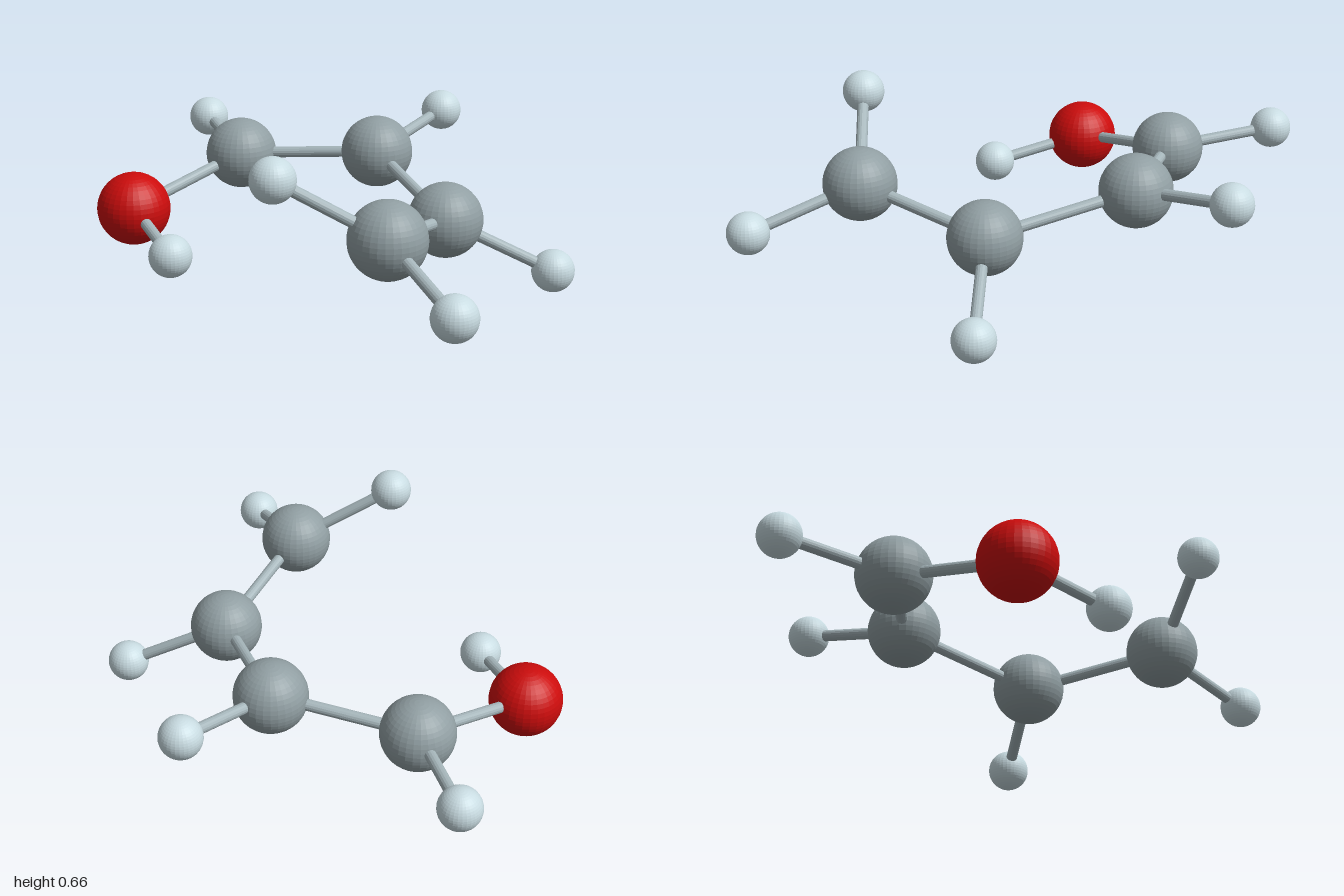
import * as THREE from 'three';

const mat = (color) => new THREE.MeshStandardMaterial({ color, flatShading: true });

export function createModel() {
  const model = new THREE.Group();

  // Kinds of ball: radius, colour and centres
  const kinds = {
    carbon: {
      radius: 0.134,
      color: 0x919fa3,
      centres: [
        [-0.557, 0.33, -0.064],
        [-0.084, 0.368, -0.304],
        [0.416, 0.274, -0.045],
        [0.54, 0.371, 0.458],
      ],
    },
    oxygen: {
      radius: 0.134,
      color: 0xcc0c0c,
      centres: [[-0.635, 0.224, 0.444]],
    },
    hydrogen: {
      radius: 0.077,
      color: 0xc8dbe1,
      centres: [
        [-0.924, 0.363, -0.28],
        [-0.085, 0.438, -0.725],
        [0.716, 0.081, -0.288],
        [0.28, 0.589, 0.72],
        [0.921, 0.253, 0.624],
        [-0.294, 0.165, 0.608],
      ],
    },
  };

  // Balls
  const centreOf = {};
  for (const [kind, { radius, color, centres }] of Object.entries(kinds)) {
    const geometry = new THREE.SphereGeometry(radius, 32, 24);
    const material = mat(color);
    centres.forEach((centre, i) => {
      const ball = new THREE.Mesh(geometry, material);
      ball.name = `${kind}${i + 1}Ball`;
      ball.position.set(...centre);
      centreOf[kind + (i + 1)] = ball.position;
      model.add(ball);
    });
  }

  // Rods joining the balls
  const rods = [
    ['carbon1', 'carbon2'], ['carbon2', 'carbon3'], ['carbon3', 'carbon4'],
    ['carbon1', 'oxygen1'], ['carbon1', 'hydrogen1'], ['carbon2', 'hydrogen2'],
    ['carbon3', 'hydrogen3'], ['carbon4', 'hydrogen4'], ['carbon4', 'hydrogen5'],
    ['oxygen1', 'hydrogen6'],
  ];
  const rodMaterial = mat(0xa6b6bb);
  const up = new THREE.Vector3(0, 1, 0);
  for (const [from, to] of rods) {
    const a = centreOf[from];
    const b = centreOf[to];
    const rod = new THREE.Mesh(new THREE.CylinderGeometry(0.021, 0.021, a.distanceTo(b), 16), rodMaterial);
    rod.name = `${from} to ${to} rod`;
    rod.position.lerpVectors(a, b, 0.5);
    rod.quaternion.setFromUnitVectors(up, b.clone().sub(a).normalize());
    model.add(rod);
  }
  return model;
}
